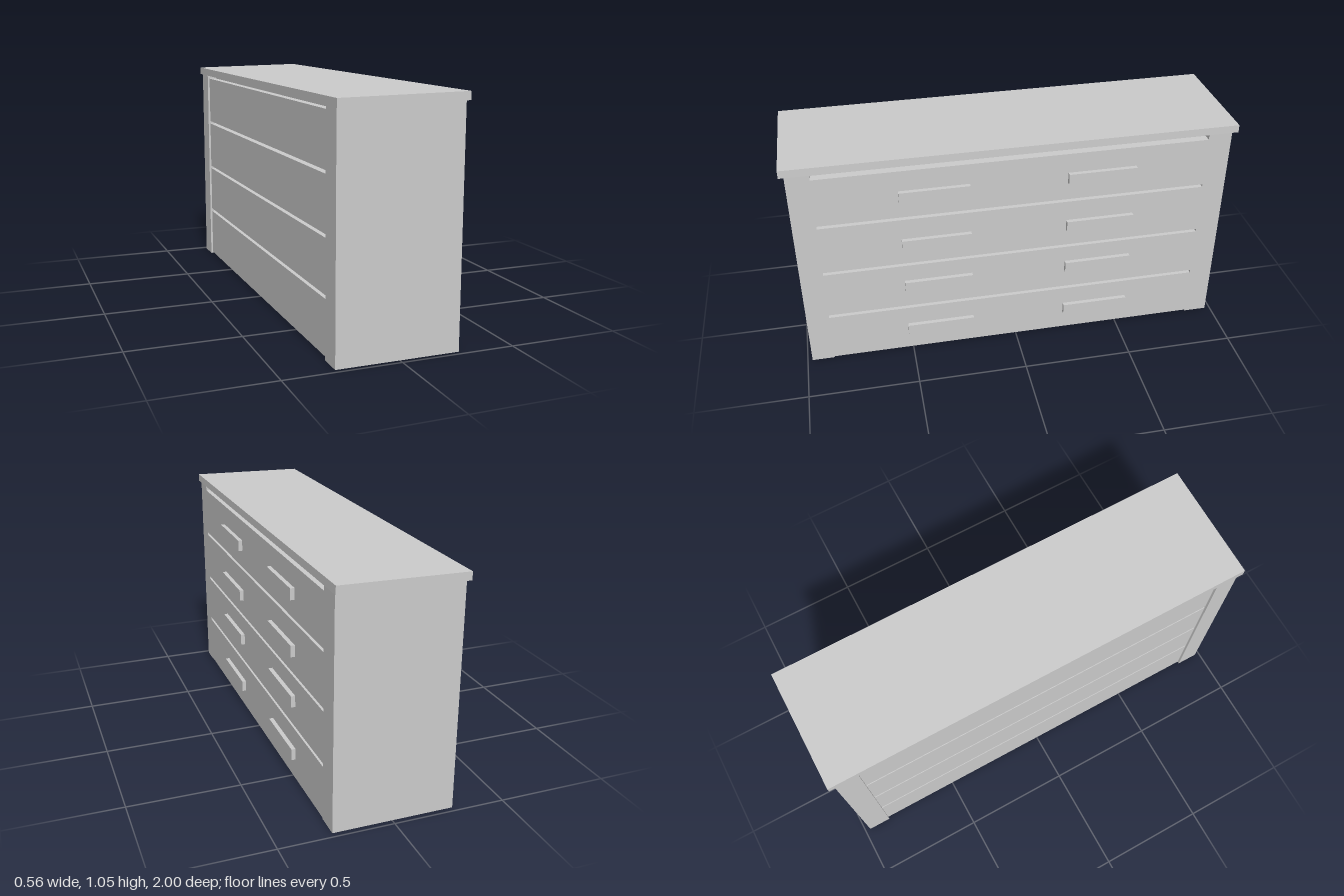
import * as THREE from 'three';

const material = new THREE.MeshStandardMaterial({ color: 0xcccccc, flatShading: true });

export function createModel() {
  const group = new THREE.Group();
  group.name = 'chestOfDrawers';

  const add = (name, geometry) => {
    const mesh = new THREE.Mesh(geometry, material);
    mesh.name = name;
    group.add(mesh);
  };

  // Box given by its extents along each axis
  const box = (name, [x0, x1], [y0, y1], [z0, z1]) => {
    const g = new THREE.BoxGeometry(x1 - x0, y1 - y0, z1 - z0);
    g.translate((x0 + x1) / 2, (y0 + y1) / 2, (z0 + z1) / 2);
    add(name, g);
  };

  // Outline in x/y carried along z
  const slab = (name, points, [z0, z1]) => {
    const shape = new THREE.Shape(points.map(([x, y]) => new THREE.Vector2(x, y)));
    const g = new THREE.ExtrudeGeometry(shape, { depth: z1 - z0, bevelEnabled: false });
    g.translate(0, 0, z0);
    add(name, g);
  };

  // Gently sloping top board
  slab('topBoard', [[-0.283, 1.003], [0.27, 1.013], [0.269, 1.048], [-0.283, 1.039]], [-1, 1]);

  // End panels, cut to the slope of the top
  const panel = [[-0.275, 0], [0.262, 0], [0.262, 1.013], [-0.275, 1.003]];
  slab('endPanelFront', panel, [0.875, 0.978]);
  slab('endPanelBack', panel, [-0.975, -0.868]);

  // Inner carcass closing the gaps between the drawers
  box('carcass', [-0.23, 0.225], [0.01, 1.004], [-0.868, 0.875]);

  // Drawers: flush with the panels at +x, slightly recessed at -x
  const drawers = [[0.006, 0.243], [0.258, 0.488], [0.502, 0.738], [0.752, 0.985]];
  drawers.forEach((y, i) => box(`drawer${i + 1}`, [-0.265, 0.262], y, [-0.868, 0.875]));

  // Two bar handles on every drawer
  const handles = [[0.098, 0.150], [0.352, 0.404], [0.584, 0.636], [0.836, 0.887]];
  handles.forEach(([y0, y1], i) => {
    box(`handleFront${i + 1}`, [0.26, 0.281], [y0, y1], [0.207, 0.518]);
    box(`handleBack${i + 1}`, [0.26, 0.281], [y0 + 0.003, y1 + 0.003], [-0.541, -0.23]);
  });

  return group;
}
